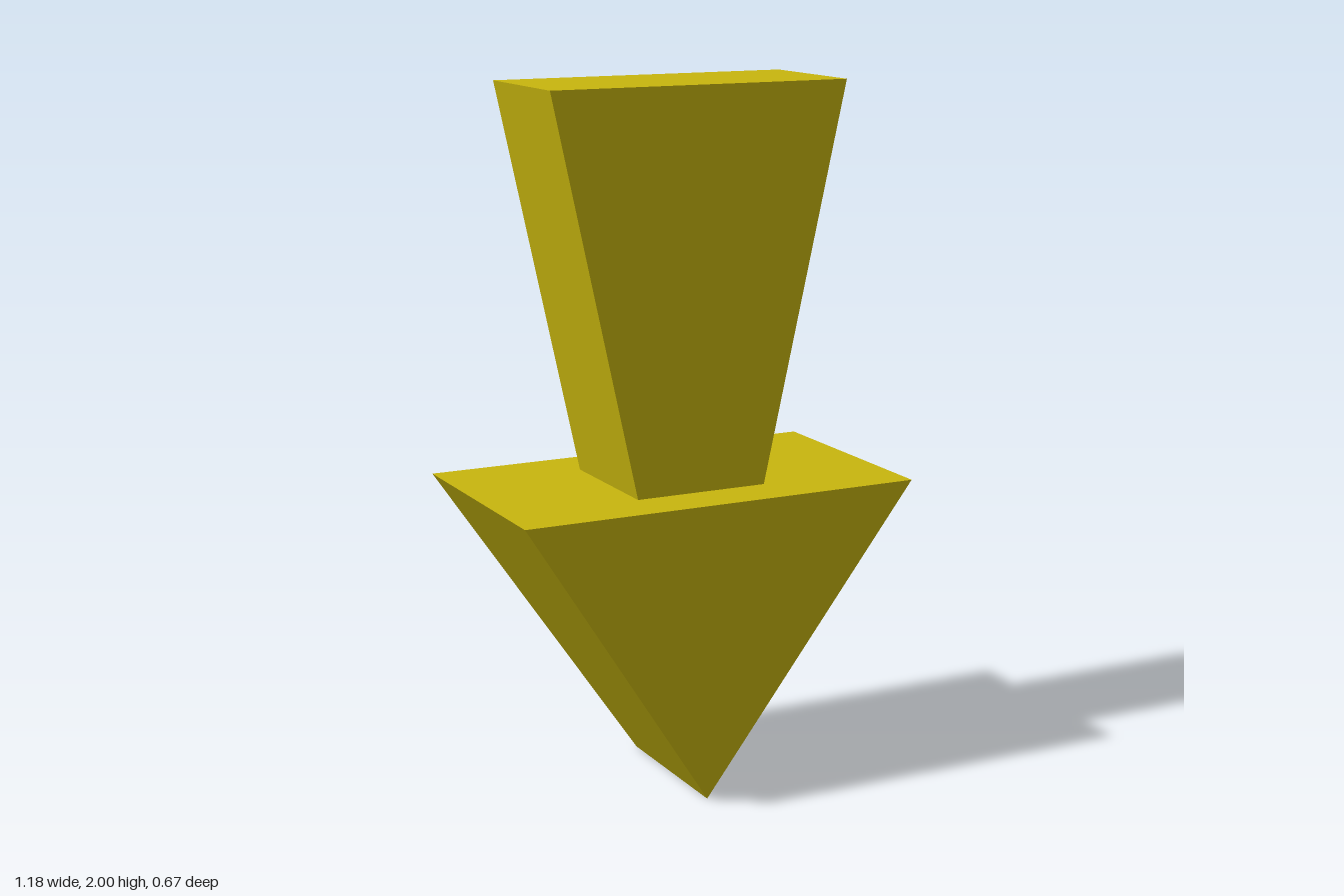
import * as THREE from 'three';

// Extrude a front outline, with half-depth running linearly from bottom to top
function taperedPrism(outline, y0, y1, depth0, depth1) {
  const shape = new THREE.Shape(outline.map(([x, y]) => new THREE.Vector2(x, y)));
  const geometry = new THREE.ExtrudeGeometry(shape, { depth: 2, bevelEnabled: false });
  geometry.translate(0, 0, -1);
  const p = geometry.attributes.position;
  for (let i = 0; i < p.count; i++) {
    const t = (p.getY(i) - y0) / (y1 - y0);
    p.setZ(i, p.getZ(i) * THREE.MathUtils.lerp(depth0, depth1, t));
  }
  geometry.computeVertexNormals();
  return geometry;
}

export function createModel() {
  const model = new THREE.Group();
  model.name = 'downArrow';
  const yellow = new THREE.MeshStandardMaterial({ color: 0xc8b60e, flatShading: true });
  yellow.name = 'mustardYellow';

  const neckY = 0.887;

  // Wedge-shaped arrow head, narrowing to a horizontal edge
  const head = new THREE.Mesh(
    taperedPrism([[0, 0], [0.59, neckY], [-0.59, neckY]], 0, neckY, 0.23, 0.335), yellow);
  head.name = 'arrowHead';

  // Shaft flaring sideways towards the top
  const shaft = new THREE.Mesh(
    taperedPrism([[-0.195, neckY], [0.195, neckY], [0.442, 2], [-0.442, 2]], neckY, 2, 0.191, 0.191), yellow);
  shaft.name = 'arrowShaft';

  model.add(head, shaft);
  return model;
}
